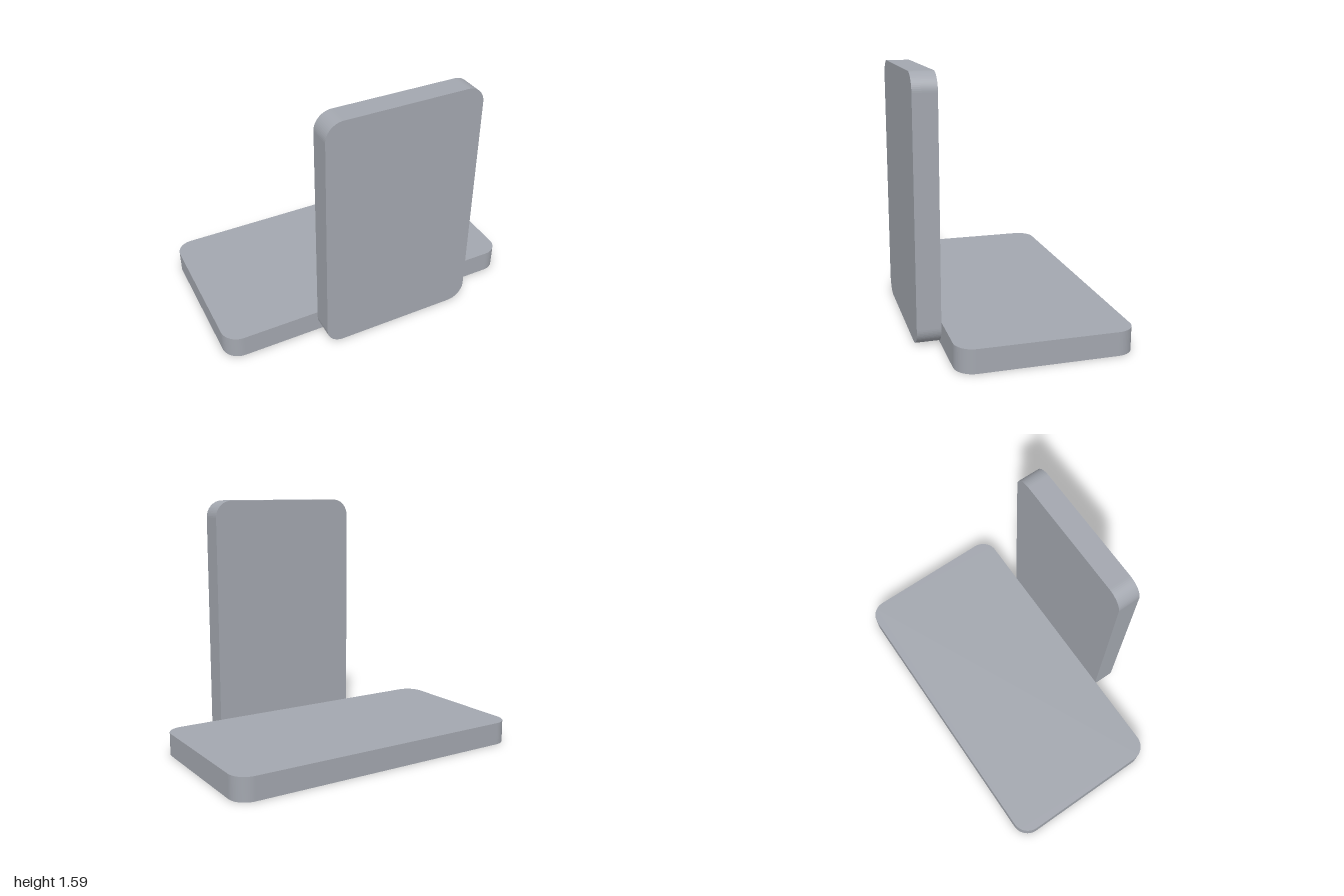
import * as THREE from 'three';

const grey = new THREE.MeshStandardMaterial({ color: 0xa3a7af });
grey.name = 'grey';

// Flat slab with rounded corners, centred on x and y, with its back on z = 0
function roundedSlab(name, width, height, depth, radius) {
  const x = width / 2, y = height / 2, r = radius;
  const shape = new THREE.Shape();
  shape.absarc(x - r, y - r, r, 0, Math.PI / 2);
  shape.absarc(-x + r, y - r, r, Math.PI / 2, Math.PI);
  shape.absarc(-x + r, -y + r, r, Math.PI, Math.PI * 1.5);
  shape.absarc(x - r, -y + r, r, Math.PI * 1.5, Math.PI * 2);
  const geometry = new THREE.ExtrudeGeometry(shape, { depth, bevelEnabled: false, curveSegments: 8 });
  const mesh = new THREE.Mesh(geometry, grey);
  mesh.name = name;
  return mesh;
}

export function createModel() {
  const thickness = 0.145, radius = 0.11;
  const group = new THREE.Group();
  group.name = 'slabStand';

  // Lying slab
  const base = roundedSlab('base', 2, 1.05, thickness, radius);
  base.rotation.x = -Math.PI / 2;
  base.position.z = -0.073;

  // Standing slab against the front edge of the base
  const upright = roundedSlab('uprightPanel', 1, 1.588, thickness, radius);
  upright.position.set(0.104, 0.794, 0.453);

  group.add(base, upright);
  return group;
}
